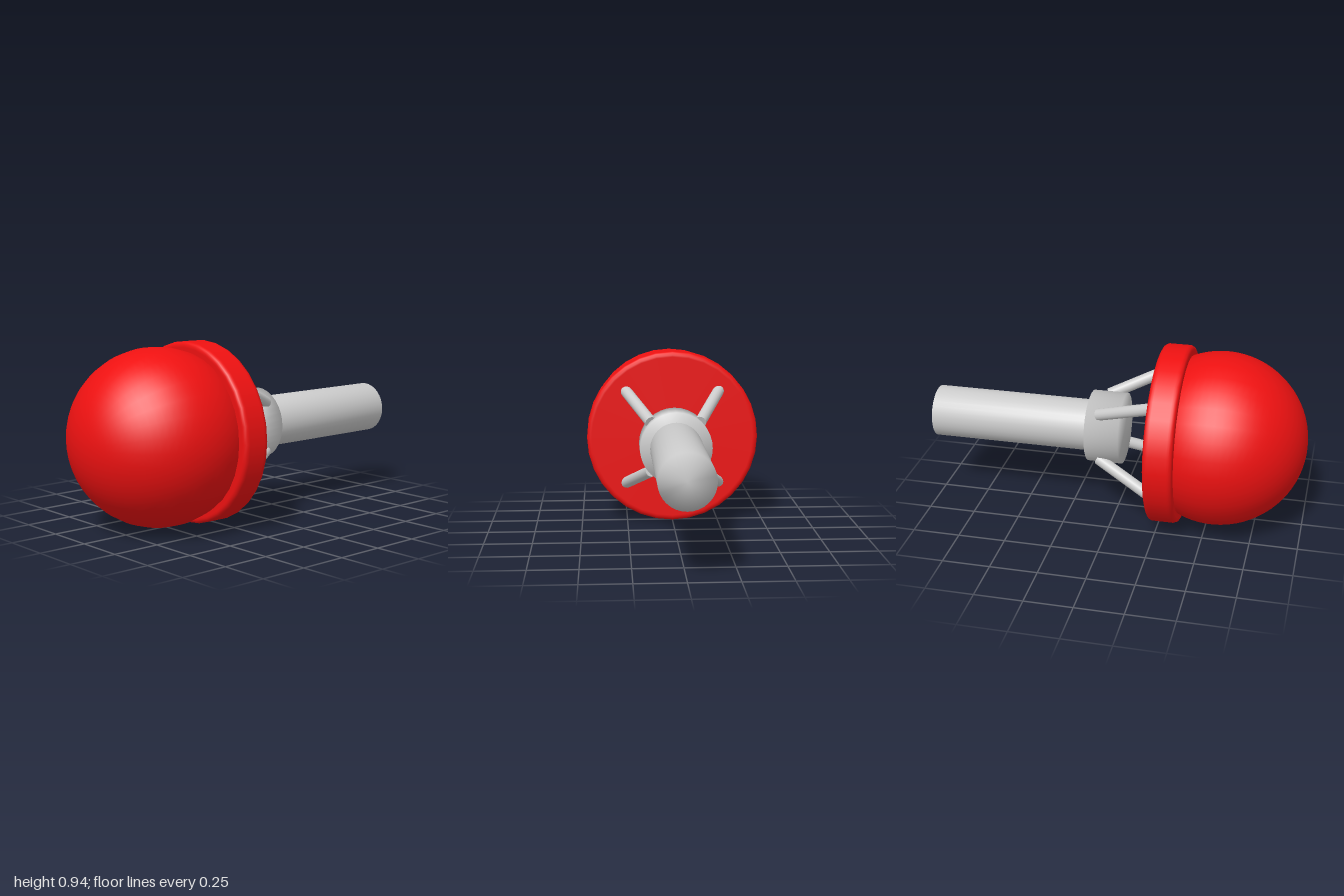
import * as THREE from 'three';

const AXIS_Y = 0.473; // height of the horizontal main axis

export function createModel() {
  const model = new THREE.Group();
  const red = new THREE.MeshStandardMaterial({ color: 0xee1111 });
  const grey = new THREE.MeshStandardMaterial({ color: 0xcccccc });

  const body = new THREE.Group();
  body.name = 'body';
  body.position.y = AXIS_Y;
  model.add(body);

  const add = (name, geometry, material) => {
    const mesh = new THREE.Mesh(geometry, material);
    mesh.name = name;
    body.add(mesh);
    return mesh;
  };

  // Turned part about the z axis; profile of [radius, z] from back to front
  const turned = (profile) =>
    new THREE.LatheGeometry(profile.map(([r, z]) => new THREE.Vector2(r, z)), 32).rotateX(Math.PI / 2);

  // Domed head, cut off inside the rim
  add('dome', new THREE.SphereGeometry(0.455, 32, 24, 0, Math.PI * 2, 0, 2.05).rotateX(Math.PI / 2), red)
    .position.z = 0.545;

  // Thick rim disc with softened edges
  const back = 0.218, front = 0.368, R = 0.47, bevel = 0.018;
  add('rim', turned([
    [0, back], [R - bevel - 0.01, back], [R - bevel, back], [R - bevel * 0.3, back + bevel * 0.3],
    [R, back + bevel], [R, back + bevel + 0.01], [R, front - bevel - 0.01], [R, front - bevel],
    [R - bevel * 0.3, front - bevel * 0.3], [R - bevel, front], [R - bevel - 0.01, front], [0, front],
  ]), red);

  // Collar and handle, smoothly shaded across their ends
  add('collar', turned([[0, -0.146], [0.19, -0.146], [0.19, 0.035], [0, 0.035]]), grey);
  add('handle', turned([[0, -1], [0.137, -1], [0.137, -0.1], [0, -0.1]]), grey);

  // Four diagonal struts joining collar and rim
  for (const sx of [1, -1]) {
    for (const sy of [1, -1]) {
      const start = new THREE.Vector3(0.13 * sx, 0.13 * sy, -0.08);
      const end = new THREE.Vector3(0.26 * sx, 0.26 * sy, 0.245);
      const dir = end.clone().sub(start);
      const strut = add('strut', new THREE.CylinderGeometry(0.031, 0.031, dir.length(), 16), grey);
      strut.position.copy(start).add(end).multiplyScalar(0.5);
      strut.quaternion.setFromUnitVectors(new THREE.Vector3(0, 1, 0), dir.normalize());
    }
  }
  return model;
}
